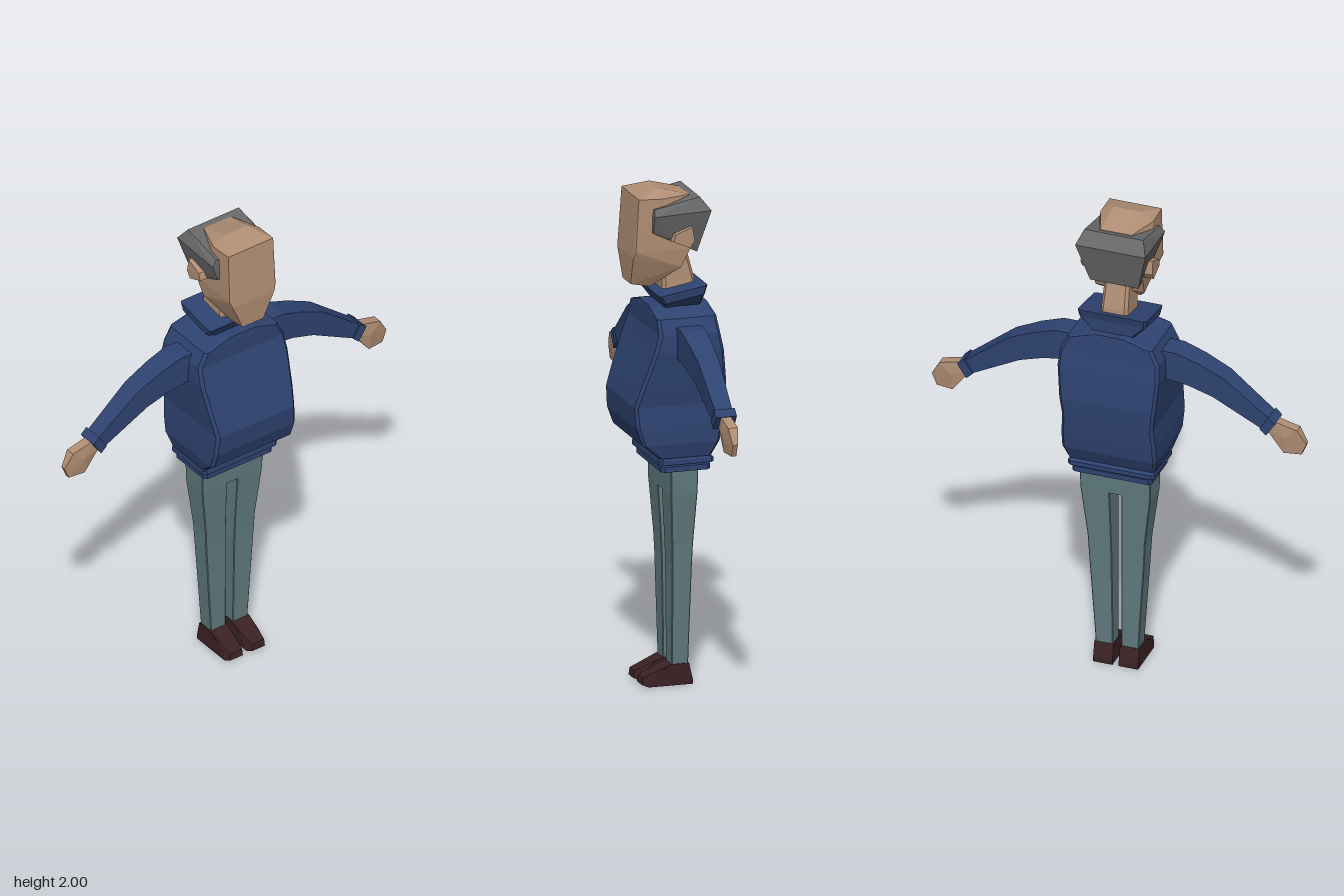
import * as THREE from 'three';
import { ConvexGeometry } from 'three/addons/geometries/ConvexGeometry.js';

const mat = (name, color) => {
  const m = new THREE.MeshStandardMaterial({ color, flatShading: true });
  m.name = name;
  return m;
};
const V = (x, y, z) => new THREE.Vector3(x, y, z);

// Horizontal chamfered rectangle; the height may tilt from front (yf) to back (yb)
function ring(x0, x1, z0, z1, yf, yb = yf, c = 0.012) {
  return [
    [x1, z1 - c], [x1, z0 + c], [x1 - c, z0], [x0 + c, z0],
    [x0, z0 + c], [x0, z1 - c], [x0 + c, z1], [x1 - c, z1],
  ].map(([x, z]) => V(x, yb + (yf - yb) * (z - z0) / (z1 - z0), z));
}

// Closed skin over a series of rings
function loft(rings) {
  const p = [];
  const tri = (...v) => v.forEach(q => p.push(q.x, q.y, q.z));
  const n = rings[0].length, last = rings[rings.length - 1];
  for (let k = 0; k < rings.length - 1; k++) {
    for (let i = 0; i < n; i++) {
      const j = (i + 1) % n, a = rings[k], b = rings[k + 1];
      tri(a[i], a[j], b[j]);
      tri(a[i], b[j], b[i]);
    }
  }
  for (let i = 1; i < n - 1; i++) {
    tri(rings[0][0], rings[0][i + 1], rings[0][i]);
    tri(last[0], last[i], last[i + 1]);
  }
  const g = new THREE.BufferGeometry();
  g.setAttribute('position', new THREE.Float32BufferAttribute(p, 3));
  g.computeVertexNormals();
  return g;
}

// Convex solid; symmetric solids list only their +x points
const hull = pts => new ConvexGeometry(pts.map(p => V(...p)));
const symHull = pts => hull(pts.flatMap(([x, y, z]) => [[x, y, z], [-x, y, z]]));

// Mirrored copy across x = 0 with corrected winding
function mirrored(geo) {
  const g = geo.clone(), a = g.attributes.position;
  for (let i = 0; i < a.count; i += 3) {
    const t = [0, 2, 1].map(k => V(-a.getX(i + k), a.getY(i + k), a.getZ(i + k)));
    t.forEach((v, k) => a.setXYZ(i + k, v.x, v.y, v.z));
  }
  g.computeVertexNormals();
  return g;
}

// Sleeve section: top point, bottom point and depth range
const sleeve = ([xt, yt, xb, yb, z0, z1]) =>
  [V(xt, yt, z1), V(xb, yb, z1), V(xb, yb, z0), V(xt, yt, z0)];

export function createModel() {
  const model = new THREE.Group();
  model.name = 'standingMan';
  const skin = mat('skin', 0xb08e74);
  const hair = mat('greyHair', 0x686868);
  const navy = mat('navySweater', 0x2e4371);
  const cloth = mat('trouserCloth', 0x5f7a7e);
  const leather = mat('shoeLeather', 0x3a2224);

  const add = (name, geo, m) => {
    const mesh = new THREE.Mesh(geo, m);
    mesh.name = name;
    model.add(mesh);
  };
  const pair = (name, geo, m) => {
    add('left' + name, geo, m);
    add('right' + name, mirrored(geo), m);
  };

  // Head and neck
  add('head', symHull([
    [0.055, 2.0, 0.05], [0.108, 1.972, 0.145], [0.11, 1.968, 0.05], [0.065, 1.965, -0.075],
    [0.11, 1.76, 0.158], [0.1, 1.735, 0.165], [0.05, 1.62, 0.16], [0.045, 1.602, 0.08],
    [0.1, 1.685, -0.03], [0.108, 1.76, -0.065],
  ]), skin);
  add('neck', loft([
    ring(-0.06, 0.06, -0.108, 0.03, 1.54),
    ring(-0.055, 0.055, -0.1, 0.03, 1.63),
    ring(-0.05, 0.05, -0.06, 0.05, 1.78),
  ]), skin);
  add('hair', symHull([
    [0.122, 1.93, 0.085], [0.122, 1.968, -0.1],
    [0.142, 1.905, 0.09], [0.145, 1.915, -0.14],
    [0.118, 1.835, 0.09], [0.118, 1.805, 0.01], [0.1, 1.742, -0.095], [0.1, 1.76, -0.06],
  ]), hair);
  const earSide = [[1.83, 0.01], [1.857, -0.065], [1.8, -0.075], [1.772, -0.055], [1.8, 0.02]];
  pair('Ear', hull(earSide.flatMap(([y, z]) => [[0.1, y, z], [0.148, y, z * 0.9 - 0.003]])), skin);

  // Sweater body, from the waist up to the shoulders: half width, back, front, height
  add('sweaterBody', loft([
    [0.18, -0.13, 0.085, 0.94], [0.195, -0.16, 0.155, 1.0], [0.195, -0.17, 0.18, 1.07],
    [0.188, -0.18, 0.186, 1.155], [0.198, -0.186, 0.16, 1.235], [0.21, -0.172, 0.112, 1.37],
    [0.205, -0.158, 0.09, 1.44], [0.175, -0.152, 0.09, 1.5], [0.07, -0.148, 0.088, 1.53],
  ].map(([w, b, f, y]) => ring(-w, w, b, f, y))), navy);
  add('ribbedHem', loft([
    [0.165, -0.13, 0.07, 0.88], [0.165, -0.13, 0.07, 0.902], [0.155, -0.12, 0.06, 0.907],
    [0.178, -0.14, 0.083, 0.912], [0.178, -0.14, 0.083, 0.93], [0.17, -0.125, 0.075, 0.945],
  ].map(([w, b, f, y]) => ring(-w, w, b, f, y))), navy);
  add('collar', loft([
    ring(-0.078, 0.078, -0.117, 0.03, 1.515),
    ring(-0.138, 0.138, -0.117, 0.05, 1.55, 1.58, 0.008),
    ring(-0.142, 0.142, -0.127, 0.07, 1.582, 1.615, 0.008),
  ]), navy);

  // Arms
  pair('Sleeve', loft([
    [0.16, 1.47, 0.17, 1.34, -0.08, 0.02], [0.25, 1.47, 0.215, 1.347, -0.08, 0.02],
    [0.34, 1.44, 0.3, 1.333, -0.077, 0.017], [0.445, 1.392, 0.4, 1.3, -0.073, 0.012],
    [0.64, 1.238, 0.605, 1.19, -0.065, 0.004],
  ].map(sleeve)), navy);
  pair('Cuff', loft([
    [0.63, 1.253, 0.593, 1.197, -0.075, 0.01], [0.657, 1.228, 0.62, 1.172, -0.075, 0.01],
  ].map(sleeve)), navy);
  const palm = [[0.645, 1.228], [0.615, 1.185], [0.66, 1.225], [0.74, 1.205], [0.685, 1.095]];
  pair('Hand', hull([
    ...palm.flatMap(([x, y]) => [[x, y, -0.052], [x, y, -0.012]]),
    [0.69, 1.165, -0.058], [0.69, 1.165, -0.004],
    [0.775, 1.145, -0.04], [0.775, 1.145, -0.02], [0.755, 1.095, -0.04], [0.755, 1.095, -0.02],
  ]), skin);

  // Trousers
  add('trouserHips', loft([
    ring(-0.145, 0.145, -0.083, 0.025, 0.78, 0.78, 0.003),
    ring(-0.147, 0.147, -0.086, 0.027, 0.89, 0.89, 0.003),
  ]), cloth);
  pair('TrouserLeg', loft([
    ring(0.017, 0.088, -0.063, 0.005, 0.075, 0.075, 0.003),
    ring(0.02, 0.115, -0.07, 0.01, 0.49, 0.49, 0.003),
    ring(0.021, 0.119, -0.073, 0.013, 0.57, 0.57, 0.003),
    ring(0.025, 0.145, -0.083, 0.025, 0.785, 0.785, 0.003),
  ]), cloth);

  // Shoes: side profile widened to the foot
  const shoe = [[-0.08, 0], [-0.08, 0.02], [-0.065, 0.085], [0.008, 0.085],
    [0.06, 0.058], [0.12, 0.038], [0.125, 0.01], [0.1, 0]];
  pair('Shoe', hull(shoe.flatMap(([z, y]) => {
    const t = z > 0.1 ? 0.01 : 0;
    return [[0.013 + t, y, z], [0.093 - t, y, z]];
  })), leather);

  return model;
}
